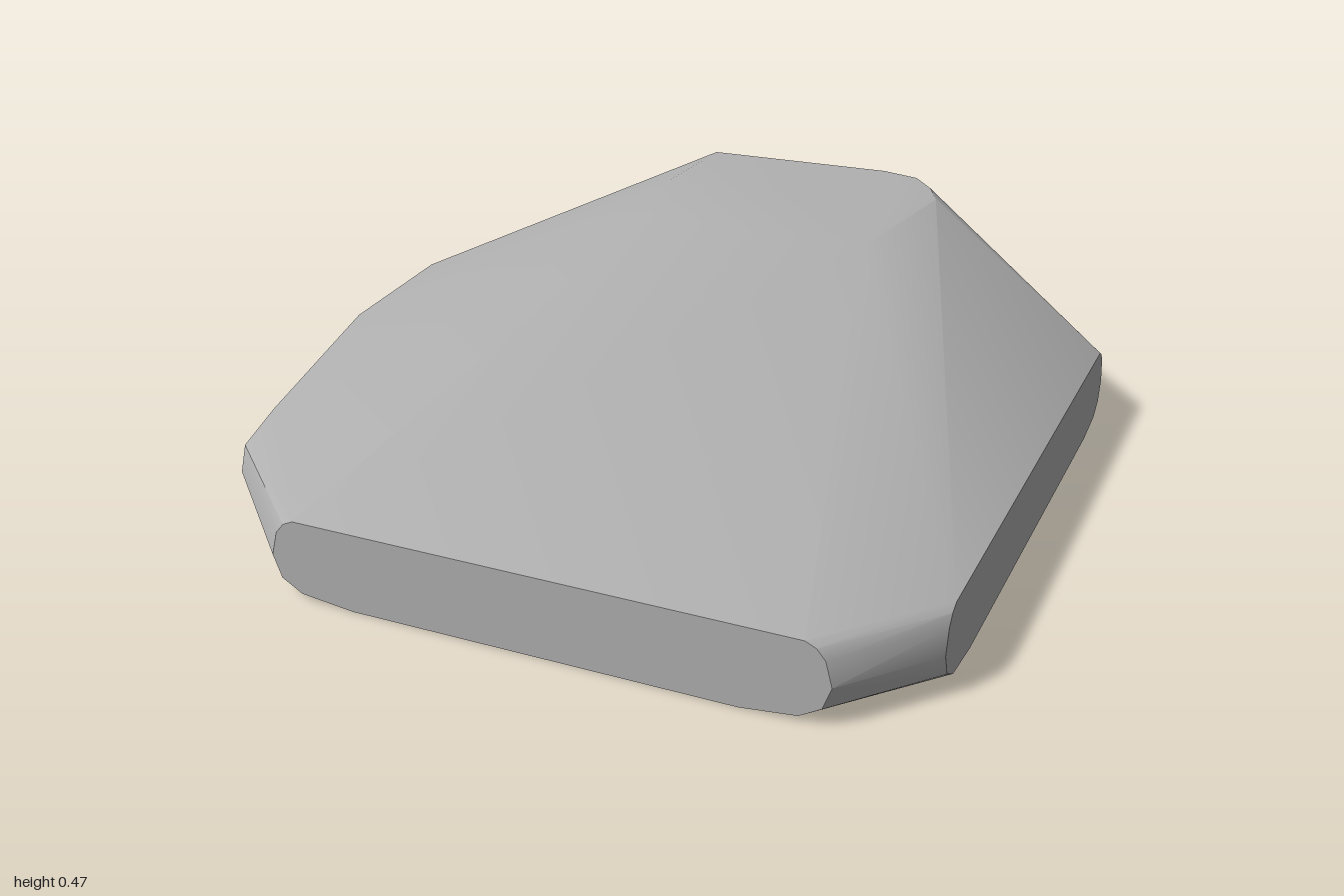
import * as THREE from 'three';
import { ConvexGeometry } from 'three/addons/geometries/ConvexGeometry.js';
import { toCreasedNormals } from 'three/addons/utils/BufferGeometryUtils.js';

export function createModel() {
  const group = new THREE.Group();
  group.name = 'flatStone';
  const stone = new THREE.MeshStandardMaterial({ color: 0xb0b0b0 });
  stone.name = 'stone grey';

  const points = [];
  const add = (x, y, z) => points.push(new THREE.Vector3(x, y, z));
  const ring = (y, list) => list.forEach(([x, z]) => add(x, y, z));

  // Rounded end of the two flat cut faces: [height, inset from the widest point]
  const bevel = [[0, 0.2], [0.015, 0.07], [0.045, 0.02], [0.1, 0], [0.16, 0.015], [0.185, 0.035], [0.197, 0.06]];
  for (const [y, inset] of bevel) {
    // front cut
    add(-0.57 + inset, y, 1);
    add(0.75 - inset, y, 1);
    // side cut
    add(0.925, y, 0.8 - inset);
    add(0.925, y, -0.63 + inset * 0.8);
  }

  // Underside, around the left and the back
  ring(0, [[-0.79, 0.64], [-0.87, 0.38], [-0.87, -0.2], [-0.8, -0.5], [-0.5, -0.8],
    [-0.3, -0.87], [0.15, -0.9], [0.62, -0.81]]);
  ring(0.02, [[-0.83, 0.68], [-0.91, 0.42], [-0.91, -0.22], [-0.83, -0.53], [-0.51, -0.83],
    [-0.3, -0.9], [0.17, -0.91], [0.66, -0.84]]);

  // Widest line
  ring(0.1, [[-0.86, 0.7], [-0.92, 0.47], [-0.928, 0.4], [-0.928, -0.22], [-0.91, -0.35],
    [-0.86, -0.53], [-0.8, -0.61], [-0.53, -0.86], [0.68, -0.87], [0.73, -0.83]]);
  ring(0.17, [[-0.85, 0.69], [-0.5, -0.87], [0.68, -0.865], [0.72, -0.83]]);

  // Upper rim on the left
  add(-0.86, 0.2, 0.55);
  add(-0.89, 0.265, 0.1);
  add(-0.89, 0.265, -0.28);

  // Overhanging back edge
  ring(0.39, [[0.17, -1], [0.23, -0.998]]);
  ring(0.44, [[-0.3, -0.932], [0.2, -0.99]]);

  // Level top
  ring(0.47, [[-0.27, -0.39], [0.33, -0.39], [0.4, -0.8], [0.36, -0.88], [0.3, -0.945],
    [0.2, -0.965], [-0.3, -0.928], [-0.34, -0.55]]);

  const body = new THREE.Mesh(toCreasedNormals(new ConvexGeometry(points), 0.42), stone);
  body.name = 'stoneBody';
  group.add(body);
  return group;
}
